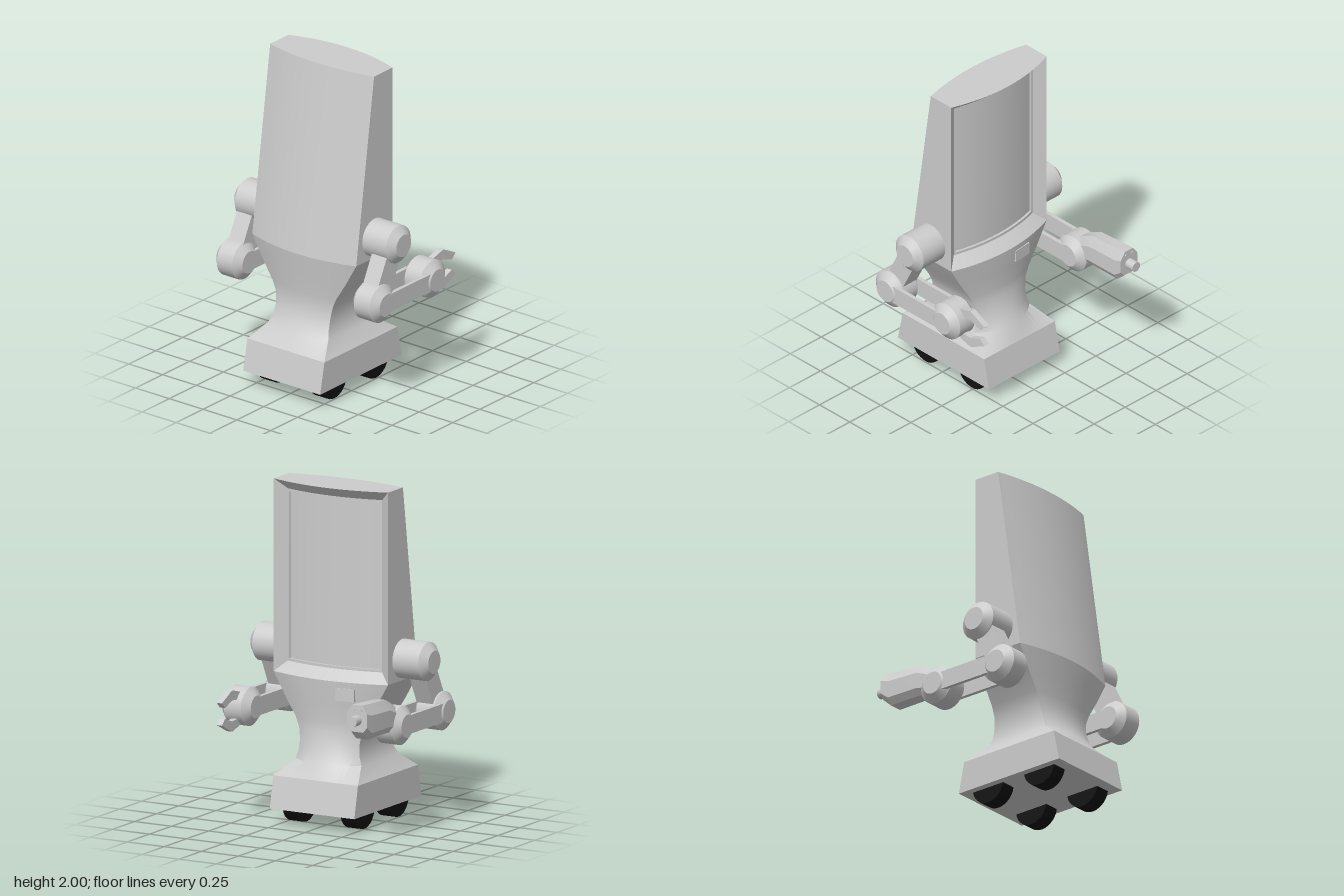
import * as THREE from 'three';
import { toCreasedNormals } from 'three/addons/utils/BufferGeometryUtils.js';

const shell = new THREE.MeshStandardMaterial({ color: 0xcccccc, side: THREE.DoubleSide });
shell.name = 'light grey shell';
const rubber = new THREE.MeshStandardMaterial({ color: 0x111111 });
rubber.name = 'black rubber';

const N = 16;
const V = (x, y, z) => new THREE.Vector3(x, y, z);

function mesh(name, geometry, material = shell, x = 0, y = 0, z = 0) {
  const m = new THREE.Mesh(geometry, material);
  m.name = name;
  m.position.set(x, y, z);
  return m;
}

// Skin between successive rows of points
function loft(rows, { closed = false, caps = false, crease = 0.45 } = {}) {
  const all = rows.slice();
  if (caps) {
    const centre = (r) => {
      const c = r.reduce((s, p) => s.add(p), V(0, 0, 0)).divideScalar(r.length);
      return r.map(() => c);
    };
    all.unshift(centre(rows[0]));
    all.push(centre(rows[rows.length - 1]));
  }
  const pos = [];
  const tri = (a, b, c) => {
    if (b.clone().sub(a).cross(c.clone().sub(a)).length() < 1e-9) return;
    for (const p of [a, b, c]) pos.push(p.x, p.y, p.z);
  };
  for (let i = 0; i < all.length - 1; i++) {
    const n = all[i].length;
    for (let j = 0; j < (closed ? n : n - 1); j++) {
      const k = (j + 1) % n;
      tri(all[i][j], all[i][k], all[i + 1][k]);
      tri(all[i][j], all[i + 1][k], all[i + 1][j]);
    }
  }
  const g = new THREE.BufferGeometry();
  g.setAttribute('position', new THREE.Float32BufferAttribute(pos, 3));
  return toCreasedNormals(g, crease);
}

// Bowed edge across z: side x, centre x; runs from +w to -w
function bow(y, w, side, mid) {
  return Array.from({ length: N + 1 }, (_, i) => {
    const t = 1 - (2 * i) / N;
    return V(side + (mid - side) * (1 - t * t), y, w * t);
  });
}
const section = ([y, w, bs, bc, fs, fc]) => [...bow(y, w, fs, fc), ...bow(y, w, bs, bc).reverse()];

// Straight bar between two points in the side plane
function bar(name, x1, y1, x2, y2, width, depth, z) {
  const m = mesh(name, new THREE.BoxGeometry(Math.hypot(x2 - x1, y2 - y1), width, depth),
    shell, (x1 + x2) / 2, (y1 + y2) / 2, z);
  m.rotation.z = Math.atan2(y2 - y1, x2 - x1);
  return m;
}

// Round joint along z, chamfered at both ends
function joint(name, x, y, z, half) {
  const pts = [[0, -half], [0.068, -half], [0.115, 0.04 - half], [0.115, half - 0.04], [0.068, half], [0, half]];
  const g = new THREE.LatheGeometry(pts.map((p) => new THREE.Vector2(...p)), 36).rotateX(Math.PI / 2);
  return mesh(name, toCreasedNormals(g, 0.5), shell, x, y, z);
}

function createHead() {
  const g = new THREE.Group();
  g.name = 'head';
  const W = 0.385, Y0 = 0.86, Y1 = 2;
  // Back and sides
  const wrap = (y, side, mid) => [V(-0.04, y, -W), ...bow(y, W, side, mid).reverse(), V(-0.04, y, W)];
  g.add(mesh('backShell', loft([wrap(Y0, -0.375, -0.445), wrap(Y1, -0.21, -0.26)])));
  g.add(mesh('topCap', loft([bow(Y1, W, -0.04, 0.03), bow(Y1, W, -0.21, -0.26)])));
  // Bevelled frame leading in to the recessed screen
  const edge = (y, w, d) => Array.from({ length: N + 1 }, (_, i) => {
    const z = w * (1 - (2 * i) / N);
    return V(0.03 - 0.07 * (z / W) ** 2 - d, y, z);
  });
  const loop = (w, y0, y1, d) => [...edge(y0, w, d), ...edge(y1, w, d).reverse()];
  g.add(mesh('screenFrame', loft([loop(W, Y0, Y1, 0), loop(0.318, 0.92, 1.94, 0.07)], { closed: true })));
  g.add(mesh('screenStep', loft([loop(0.318, 0.92, 1.94, 0.07), loop(0.306, 0.936, 1.924, 0.07),
    loop(0.306, 0.936, 1.924, 0.085)], { closed: true })));
  g.add(mesh('screen', loft([edge(0.936, 0.306, 0.085), edge(1.924, 0.306, 0.085)])));
  return g;
}

function createBody() {
  const g = new THREE.Group();
  g.name = 'body';
  // Waisted neck: y, half width, back side, back centre, front side, front centre
  const neck = [
    [0.285, 0.285, -0.545, -0.545, 0.13, 0.13],
    [0.37, 0.222, -0.43, -0.475, -0.015, 0.08],
    [0.42, 0.205, -0.405, -0.44, -0.022, 0.05],
    [0.48, 0.2, -0.385, -0.415, -0.028, 0.027],
    [0.55, 0.21, -0.375, -0.405, -0.035, 0.008],
    [0.61, 0.235, -0.375, -0.41, -0.038, 0.005],
    [0.72, 0.305, -0.375, -0.425, -0.04, 0.018],
    [0.86, 0.385, -0.375, -0.445, -0.04, 0.03],
  ];
  g.add(mesh('neck', loft(neck.map(section), { closed: true })));
  // Sloping base block
  const block = [[0.095, 0.285, -0.585, -0.585, 0.17, 0.17], [0.285, 0.285, -0.545, -0.545, 0.13, 0.13]];
  g.add(mesh('base', loft(block.map(section), { closed: true, caps: true })));
  const slot = mesh('frontPlate', new THREE.BoxGeometry(0.03, 0.075, 0.12), shell, 0.008, 0.785, -0.13);
  slot.rotation.y = 0.1;
  g.add(slot);
  // Four wheels
  for (const x of [-0.4, -0.015]) for (const z of [-0.195, 0.195]) {
    g.add(mesh('wheel', new THREE.CylinderGeometry(0.115, 0.115, 0.095, 32).rotateX(Math.PI / 2), rubber, x, 0.115, z));
  }
  return g;
}

function createArm(s) {
  const g = new THREE.Group();
  g.name = s > 0 ? 'clawArm' : 'blasterArm';
  g.add(joint('shoulder', -0.205, 0.99, s * 0.46, 0.14));
  g.add(bar('upperArm', -0.205, 0.99, -0.365, 0.67, 0.13, 0.11, s * 0.5));
  g.add(joint('elbow', -0.365, 0.67, s * 0.508, 0.097));
  for (const z of [0.424, 0.585]) g.add(bar('forearmSlat', -0.365, 0.67, 0.105, 0.67, 0.11, 0.024, s * z));
  g.add(joint('wrist', 0.105, 0.67, s * 0.508, 0.097));
  return g;
}

function createClaw() {
  const g = new THREE.Group();
  g.name = 'claw';
  const finger = [[0.12, 0.03], [0.14, 0.09], [0.26, 0.123], [0.375, 0.066], [0.34, 0.032], [0.26, 0.062], [0.17, 0.055]];
  for (const s of [1, -1]) {
    const shape = new THREE.Shape(finger.map(([x, y]) => new THREE.Vector2(x, s * y)));
    g.add(mesh(s > 0 ? 'upperFinger' : 'lowerFinger',
      new THREE.ExtrudeGeometry(shape, { depth: 0.036, bevelEnabled: false }), shell, 0, 0.667, 0.485));
  }
  return g;
}

function createBlaster() {
  const g = new THREE.Group();
  g.name = 'blaster';
  // Eight-sided housing: x, bottom, top, half width
  const rows = [[0.08, 0.62, 0.75, 0.055], [0.17, 0.64, 0.805, 0.06], [0.25, 0.65, 0.845, 0.065],
    [0.46, 0.65, 0.857, 0.067], [0.515, 0.7, 0.86, 0.067]].map(([x, b, t, w]) => {
    const h = t - b;
    return [[t, -0.5], [t, 0.5], [t - 0.3 * h, 1], [b + 0.2 * h, 1], [b, 0.6], [b, -0.6], [b + 0.2 * h, -1], [t - 0.3 * h, -1]]
      .map(([y, k]) => V(x, y, -0.51 + k * w));
  });
  g.add(mesh('housing', loft(rows, { closed: true, caps: true })));
  const rod = (name, r, len, x, y, z) =>
    g.add(mesh(name, new THREE.CylinderGeometry(r, r, len, 20).rotateZ(Math.PI / 2), shell, x, y, z));
  rod('barrel', 0.031, 0.07, 0.54, 0.77, -0.51);
  for (const z of [-0.535, -0.485]) rod('sensor', 0.008, 0.02, 0.51, 0.832, z);
  return g;
}

export function createModel() {
  const model = new THREE.Group();
  model.name = 'robot';
  model.add(createHead(), createBody(), createArm(1), createArm(-1), createClaw(), createBlaster());
  return model;
}
